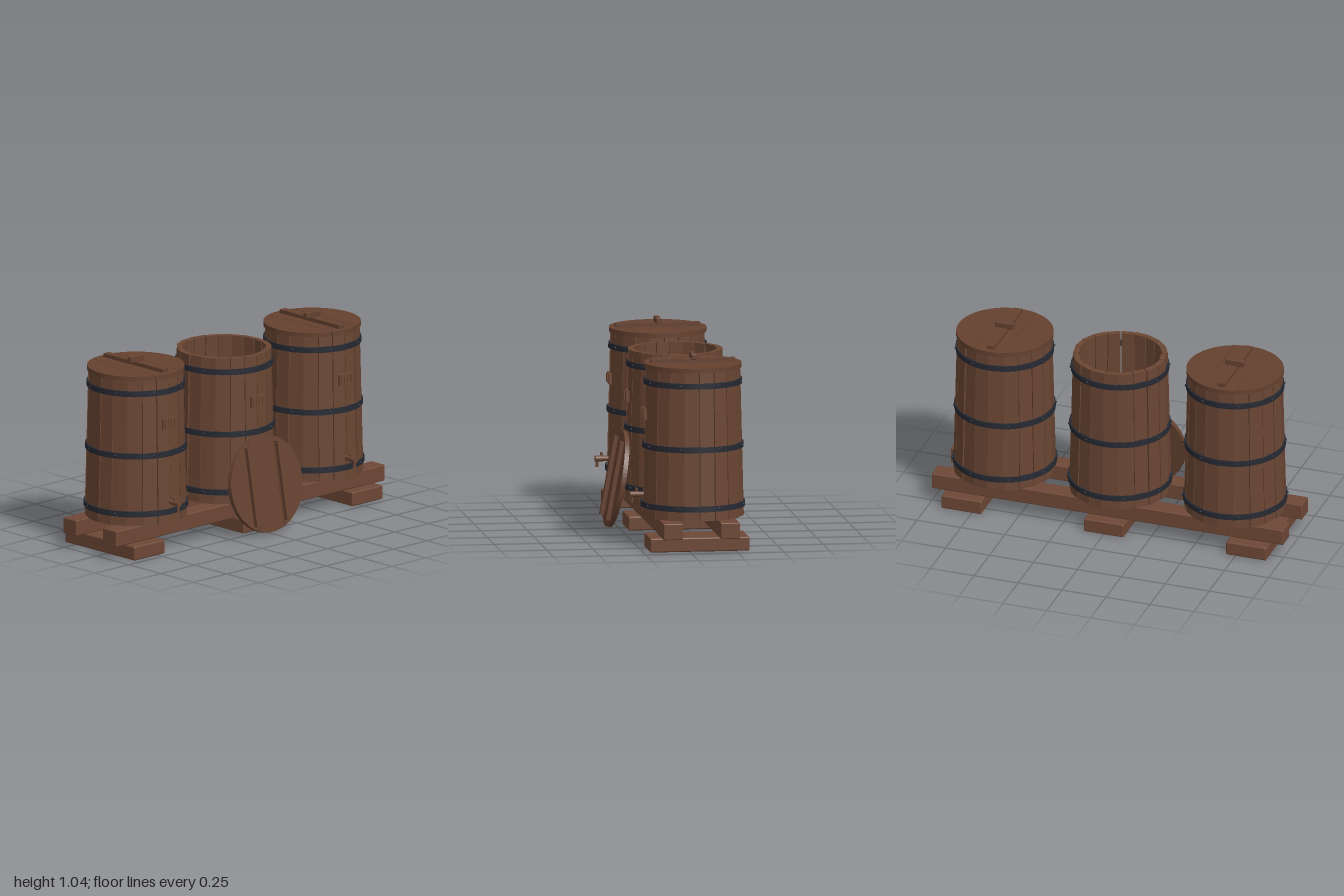
import * as THREE from 'three';
import { toCreasedNormals } from 'three/addons/utils/BufferGeometryUtils.js';
import { RoundedBoxGeometry } from 'three/addons/geometries/RoundedBoxGeometry.js';

const mat = (name, color) => new THREE.MeshStandardMaterial({ name, color });
const staveWood = mat('stave wood', 0x6a4633);
const lidWood = mat('lid wood', 0x64412f);
const beamWood = mat('beam wood', 0x6d4735);
const iron = mat('dark iron', 0x262932);

const BASE = 0.165, TOP = 0.97, R0 = 0.275, R1 = 0.255, STAVES = 20;
const radiusAt = (y) => R0 + (R1 - R0) * (y - BASE) / (TOP - BASE);

function add(parent, name, geometry, material, x = 0, y = 0, z = 0) {
  const mesh = new THREE.Mesh(geometry, material);
  mesh.name = name;
  mesh.position.set(x, y, z);
  parent.add(mesh);
  return mesh;
}
const box = (w, h, d) => new THREE.BoxGeometry(w, h, d);

// Small seeded generator for the uneven staves
function seeded(seed) {
  return () => (seed = (seed * 16807) % 2147483647) / 2147483647;
}

// One tapered wedge of the barrel wall, bent from a box
function staveGeometry(jitter) {
  const geo = box(1, 1, 1);
  const p = geo.attributes.position;
  const half = Math.PI / STAVES - 0.009;
  for (let i = 0; i < p.count; i++) {
    const y = p.getY(i) < 0 ? BASE : TOP;
    const r = radiusAt(y) + jitter - (p.getZ(i) < 0 ? 0.03 : 0);
    const a = Math.sign(p.getX(i)) * half;
    p.setXYZ(i, r * Math.sin(a), y, r * Math.cos(a));
  }
  geo.computeVertexNormals();
  return geo;
}

// Flat band following the taper of the wall
function hoopGeometry(y) {
  const h = 0.015, lo = radiusAt(y - h), hi = radiusAt(y + h);
  const profile = [[lo - 0.01, -h], [lo + 0.008, -h], [hi + 0.008, h], [hi - 0.01, h], [lo - 0.01, -h]]
    .map(([r, v]) => new THREE.Vector2(r, v));
  return toCreasedNormals(new THREE.LatheGeometry(profile, 40), 0.5);
}

// Slice of a disc between two parallel cuts, lying flat
function plankGeometry(r, x0, x1, thickness) {
  const a0 = Math.acos(x1 / r), a1 = Math.acos(x0 / r), n = 14, pts = [];
  const push = (a) => {
    const v = new THREE.Vector2(r * Math.cos(a), r * Math.sin(a));
    if (!pts.some((q) => q.distanceTo(v) < 1e-5)) pts.push(v);
  };
  for (let i = 0; i <= n; i++) push(a0 + (a1 - a0) * i / n);
  for (let i = 0; i <= n; i++) push(-a1 + (a1 - a0) * i / n);
  const geo = new THREE.ExtrudeGeometry(new THREE.Shape(pts), { depth: thickness, bevelEnabled: false });
  return geo.rotateX(-Math.PI / 2);
}

// Three-plank round lid, underside at y = 0
function lidBoards() {
  const lid = new THREE.Group();
  lid.name = 'lid';
  const r = 0.262, cut = 0.088, gap = 0.0015;
  for (const [a, b] of [[-r, -cut - gap], [-cut + gap, cut - gap], [cut + gap, r]])
    add(lid, 'lidPlank', plankGeometry(r, a, b, 0.025), lidWood);
  return lid;
}

// Little framed plate with upright bars on the barrel front
function frontPlate(parent) {
  const plate = new THREE.Group();
  plate.name = 'frontPlate';
  plate.position.set(0, 0.717, radiusAt(0.717));
  add(plate, 'plateBack', box(0.1, 0.06, 0.014), staveWood);
  for (const x of [-0.036, -0.013, 0.013, 0.036])
    add(plate, 'plateBar', box(0.012, 0.044, 0.006), staveWood, x, 0, 0.009);
  add(plate, 'plateCatch', box(0.018, 0.01, 0.016), staveWood, 0, 0.026, 0.005);
  parent.add(plate);
}

// Wooden tap low on the front
function spigot(parent) {
  const tap = new THREE.Group();
  tap.name = 'spigot';
  tap.position.set(0, 0.28, 0.255);
  add(tap, 'tapBarrel', new THREE.CylinderGeometry(0.017, 0.014, 0.085, 12).rotateX(Math.PI / 2), staveWood, 0, 0, 0.042);
  add(tap, 'tapSpout', new THREE.CylinderGeometry(0.008, 0.008, 0.035, 10), staveWood, 0, -0.027, 0.074);
  add(tap, 'tapStem', new THREE.CylinderGeometry(0.006, 0.006, 0.03, 8), staveWood, 0, 0.015, 0.05);
  add(tap, 'tapKey', box(0.038, 0.01, 0.012), staveWood, 0, 0.027, 0.05);
  parent.add(tap);
}

function barrel(x, closed, seed) {
  const g = new THREE.Group();
  g.name = closed ? 'closedBarrel' : 'openBarrel';
  g.position.set(x, 0, -0.055);
  const rand = seeded(seed);
  for (let i = 0; i < STAVES; i++) {
    const stave = add(g, 'stave', staveGeometry((rand() - 0.5) * 0.006), staveWood);
    stave.rotation.y = (i + 0.5) * 2 * Math.PI / STAVES;
  }
  add(g, 'barrelFloor', new THREE.CylinderGeometry(0.25, 0.25, 0.025, 40), lidWood, 0, BASE + 0.0145, 0);

  for (const y of [0.23, 0.55, 0.895]) {
    add(g, 'hoop', hoopGeometry(y), iron, 0, y, 0);
    for (let i = 0; i < 8; i++) {
      const a = (i + 0.5) * Math.PI / 4, r = radiusAt(y) + 0.008;
      add(g, 'rivet', new THREE.SphereGeometry(0.007, 8, 6), iron, r * Math.sin(a), y, r * Math.cos(a));
    }
  }
  frontPlate(g);

  if (closed) {
    const lid = lidBoards();
    lid.position.y = 0.967;
    add(lid, 'lidBatten', box(0.042, 0.02, 0.46), lidWood, 0, 0.035, 0);
    add(lid, 'lidHandle', new RoundedBoxGeometry(0.105, 0.033, 0.028, 2, 0.004), lidWood, 0, 0.0595, 0);
    g.add(lid);
    spigot(g);
  }
  return g;
}

export function createModel() {
  const model = new THREE.Group();
  model.name = 'barrelStand';

  // Stand: two long rails on three cross feet
  for (const z of [0.1, -0.21])
    add(model, 'rail', new RoundedBoxGeometry(2, 0.088, 0.105, 2, 0.006), beamWood, 0, 0.121, z);
  for (const x of [-0.81, 0, 0.81])
    add(model, 'foot', new RoundedBoxGeometry(0.228, 0.077, 0.54, 2, 0.008), beamWood, x, 0.0385, -0.055);

  // Barrels
  [-0.655, 0, 0.655].forEach((x, i) => model.add(barrel(x, i !== 1, 71 + i * 1313)));

  // Loose lid leaning on the open barrel, underside battens outward
  const leaning = new THREE.Group();
  leaning.name = 'leaningLid';
  const boards = lidBoards();
  boards.rotation.x = Math.PI / 2;
  boards.position.z = -0.0125;
  leaning.add(boards);
  for (const x of [-0.112, 0.112])
    add(leaning, 'lidCleat', box(0.034, 0.43, 0.022), lidWood, x, 0, 0.0235);
  leaning.position.set(0, 0.268, 0.266);
  leaning.rotation.x = -0.183;
  model.add(leaning);

  return model;
}
